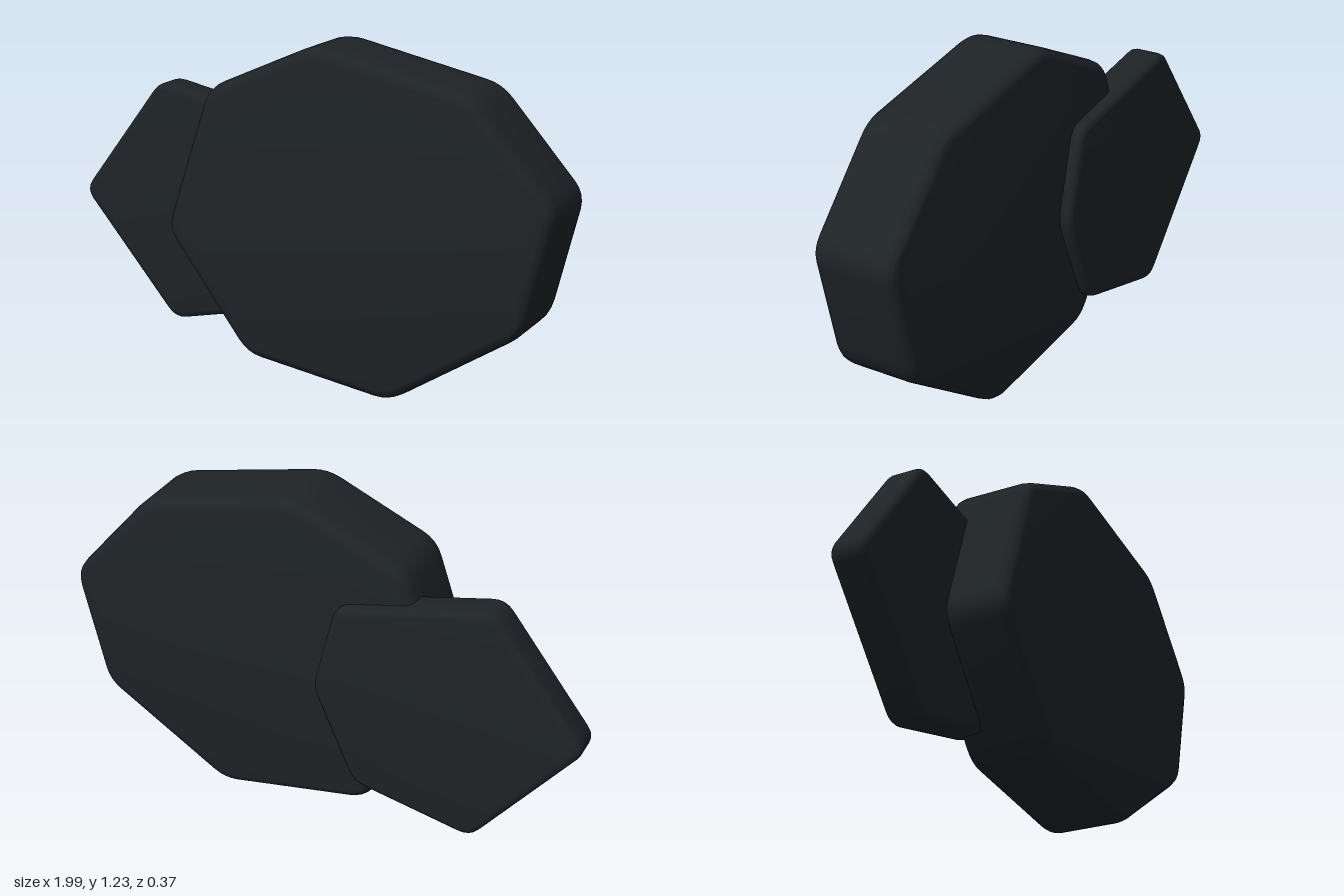
import * as THREE from 'three';
import { toCreasedNormals } from 'three/addons/utils/BufferGeometryUtils.js';

const material = new THREE.MeshStandardMaterial({ color: 0x1e2326 });

// Closed polygon whose corners are softened by a short curve
function roundedPolygon(corners, radius) {
  const pts = corners.map(([x, y]) => new THREE.Vector2(x, y));
  const shape = new THREE.Shape();
  pts.forEach((p, i) => {
    const prev = pts[(i + pts.length - 1) % pts.length];
    const next = pts[(i + 1) % pts.length];
    const a = p.clone().add(prev.clone().sub(p).setLength(radius));
    const b = p.clone().add(next.clone().sub(p).setLength(radius));
    if (i === 0) shape.moveTo(a.x, a.y);
    else shape.lineTo(a.x, a.y);
    shape.quadraticCurveTo(p.x, p.y, b.x, b.y);
  });
  shape.closePath();
  return shape;
}

// Bevelled plate filling the outline between two depths
function plate(name, corners, zBack, zFront, radius, bevelDepth, bevelInset) {
  const geometry = new THREE.ExtrudeGeometry(roundedPolygon(corners, radius), {
    depth: zFront - zBack - 2 * bevelDepth,
    curveSegments: 4,
    bevelEnabled: true,
    bevelThickness: bevelDepth,
    bevelSize: bevelInset,
    bevelOffset: -bevelInset,
    bevelSegments: 3,
  });
  geometry.translate(0, 0, zBack + bevelDepth);
  const mesh = new THREE.Mesh(toCreasedNormals(geometry, 0.6), material);
  mesh.name = name;
  return mesh;
}

export function createModel() {
  const group = new THREE.Group();
  group.name = 'overlappingSlabs';

  // Thick eight-sided slab in front
  group.add(plate('largeSlab', [
    [0.40, -0.005], [0.895, 0.315], [1.005, 0.765], [0.69, 1.12],
    [0.10, 1.245], [-0.325, 1.055], [-0.505, 0.515], [-0.175, 0.08],
  ], -0.14, 0.185, 0.06, 0.05, 0.035));

  // Thin six-sided slab tucked behind it
  group.add(plate('smallSlab', [
    [-0.615, 0.08], [-0.155, 0.185], [0.005, 0.55],
    [-0.08, 0.89], [-0.665, 1.01], [-1.015, 0.55],
  ], -0.185, -0.045, 0.05, 0.025, 0.025));

  return group;
}
